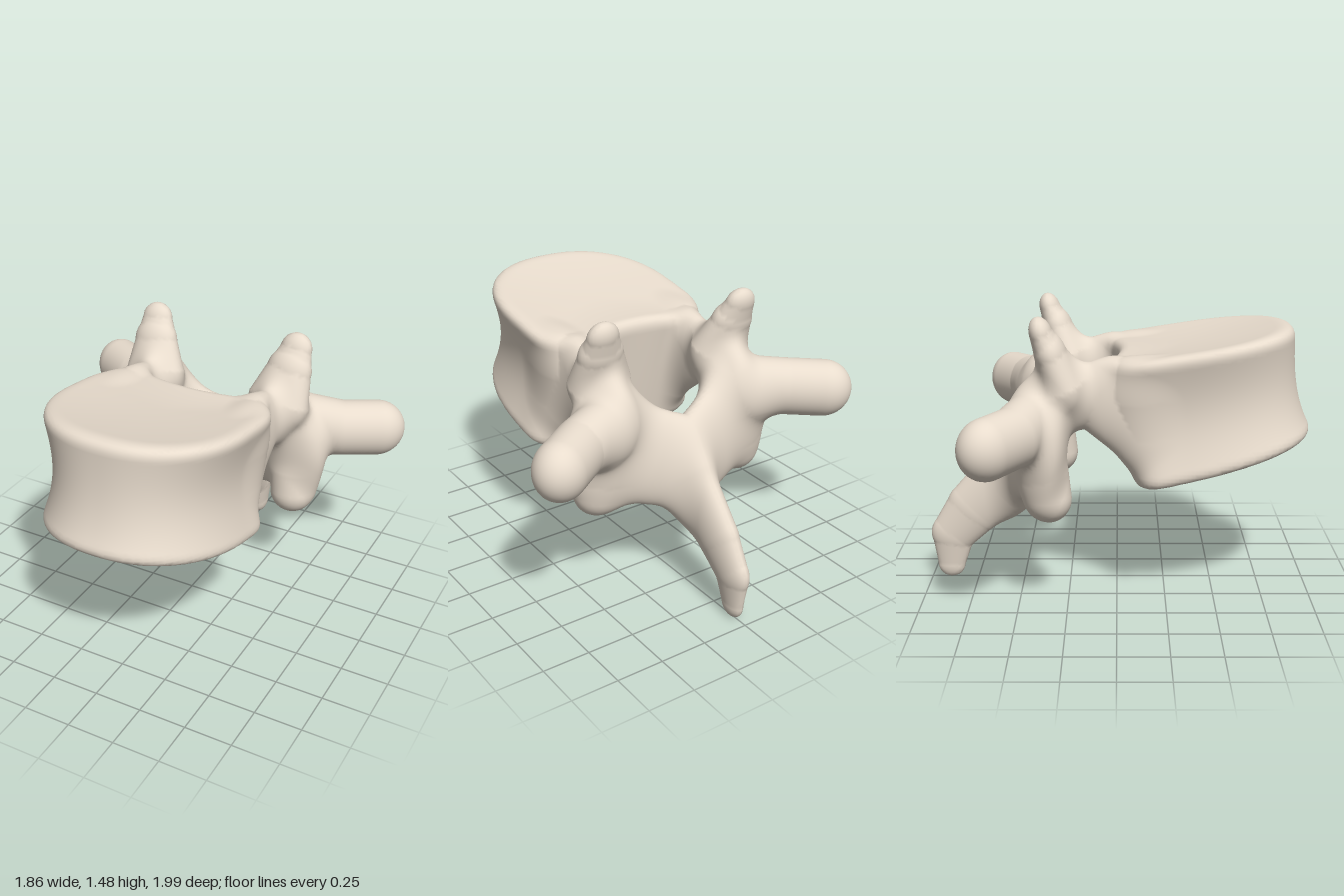
import * as THREE from 'three';
import { mergeVertices } from 'three/addons/utils/BufferGeometryUtils.js';

// The bone is one smooth skin: part fields are blended, meshed, then split into named parts.

const clamp = THREE.MathUtils.clamp;
const lerp = THREE.MathUtils.lerp;

// Smooth minimum: rounds the join of two fields over a width k
const blend = (a, b, k) => {
  const h = Math.max(k - Math.abs(a - b), 0) / k;
  return Math.min(a, b) - h * h * k * 0.25;
};

// Limb: path of [x, y, z, radius], flattened along the direction n by the factor k
function limb(path, n = [0, 0, 1], k = 1) {
  const len = Math.hypot(...n);
  const [nx, ny, nz] = n.map((c) => c / len);
  return (x, y, z) => {
    let best = Infinity;
    for (let i = 0; i < path.length - 1; i++) {
      const [ax, ay, az, ar] = path[i];
      const [bx, by, bz, br] = path[i + 1];
      const ex = bx - ax, ey = by - ay, ez = bz - az;
      const t = clamp(((x - ax) * ex + (y - ay) * ey + (z - az) * ez) / (ex * ex + ey * ey + ez * ez), 0, 1);
      const dx = x - ax - t * ex, dy = y - ay - t * ey, dz = z - az - t * ez;
      const dn = dx * nx + dy * ny + dz * nz;
      const d = Math.sqrt(dx * dx + dy * dy + dz * dz + (k * k - 1) * dn * dn) - lerp(ar, br, t);
      best = Math.min(best, d);
    }
    return best;
  };
}

// Body: D-shaped drum with sloping end plates, a waist and a hollowed back wall
function bodyField(x, y, z) {
  const top = 1.272 + 0.155 * z;
  const bottom = 0.582 + 0.235 * z;
  const s = clamp((y - bottom) / (top - bottom), 0, 1);
  const halfWidth = 0.52 - 0.07 * Math.sin(Math.PI * s);
  const front = 0.907 + 0.12 * (1 - s) ** 3;
  const back = 0.09 - 0.09 * s - 0.05 * s * Math.min(1, (x / 0.25) ** 2);
  const mid = 0.35;
  const u = Math.abs(x) / halfWidth;
  const v = z > mid ? (z - mid) / (front - mid) : (mid - z) / (mid - back);
  const n = z > mid ? 2.3 : 4.5;
  const r = (u ** n + v ** n) ** (1 / n);
  const dish = 0.03 * Math.max(0, 1 - r * r);
  const plates = Math.max(y - top, bottom - y) + dish;
  return -blend(-(r - 1) * 0.45, -plates, 0.08);
}

// Paired parts are described on the left (+x) and mirrored; join is the width of the fillet
const parts = [
  { name: 'vertebralBody', join: 0.1, field: bodyField },
  { name: 'pedicle', paired: true, join: 0.14,
    field: limb([[0.36, 1.07, 0.1, 0.155], [0.345, 0.89, 0.12, 0.155], [0.345, 1.09, -0.11, 0.165], [0.36, 1.07, -0.3, 0.155]], [1, 0, 0], 1.9) },
  { name: 'superiorArticularProcess', paired: true, join: 0.1,
    field: limb([[0.365, 1.15, -0.26, 0.165], [0.39, 1.3, -0.32, 0.12], [0.405, 1.405, -0.365, 0.084]], [0, 0.3, 1], 1.5) },
  { name: 'transverseProcess', paired: true, join: 0.12,
    field: limb([[0.36, 0.98, -0.39, 0.16], [0.62, 0.945, -0.49, 0.15], [0.785, 0.935, -0.6, 0.15]], [0.53, 0, 0.85], 1.15) },
  { name: 'inferiorArticularProcess', paired: true, join: 0.1,
    field: limb([[0.42, 0.9, -0.41, 0.13], [0.425, 0.7, -0.35, 0.12], [0.435, 0.585, -0.335, 0.118]], [0, 0, 1], 1.05) },
  { name: 'lamina', paired: true, join: 0.12,
    field: limb([[0.34, 0.81, -0.395, 0.26], [0, 0.69, -0.52, 0.23]], [0.32, 0.15, -0.95], 2.5) },
  { name: 'spinousProcess', join: 0.24,
    field: limb([[0, 0.6, -0.54, 0.18], [0, 0.395, -0.76, 0.15], [0, 0.25, -0.88, 0.118], [0, 0.075, -0.895, 0.073]], [1, 0, 0], 2) },
];

function boneField(x, y, z) {
  let d = 10;
  for (const p of parts) d = blend(d, p.field(Math.abs(x), y, z), p.join);
  return d;
}

function gradient(x, y, z) {
  const e = 0.004;
  return new THREE.Vector3(
    boneField(x + e, y, z) - boneField(x - e, y, z),
    boneField(x, y + e, z) - boneField(x, y - e, z),
    boneField(x, y, z + e) - boneField(x, y, z - e)
  ).divideScalar(2 * e);
}

function partNameAt(c) {
  let best = null, bestD = Infinity;
  for (const p of parts) {
    const d = p.field(Math.abs(c.x), c.y, c.z);
    if (d < bestD) { best = p; bestD = d; }
  }
  if (!best.paired) return best.name;
  return (c.x > 0 ? 'left' : 'right') + best.name[0].toUpperCase() + best.name.slice(1);
}

// Meshes the zero surface of the field: one vertex per crossed cell, one quad per crossed edge
function skin() {
  const h = 0.02, size = [106, 82, 108], origin = [-1.05, -0.06, -1.07];
  const step = [1, size[0], size[0] * size[1]];
  const at = (i, j, k) => i + j * step[1] + k * step[2];
  const values = new Float32Array(size[0] * size[1] * size[2]);
  const eachCell = (from, fn) => {
    for (let k = from; k < size[2] - 1; k++)
      for (let j = from; j < size[1] - 1; j++)
        for (let i = from; i < size[0] - 1; i++) fn(i, j, k, at(i, j, k));
  };
  values.fill(1);
  eachCell(0, (i, j, k, id) => {
    values[id] = boneField(origin[0] + i * h, origin[1] + j * h, origin[2] + k * h);
  });

  const positions = [], normals = [], points = [];
  const vertexOf = new Int32Array(values.length).fill(-1);
  eachCell(0, (i, j, k, id) => {
    const sum = new THREE.Vector3();
    let count = 0;
    for (let c = 0; c < 8; c++) {
      const corner = [c & 1, (c >> 1) & 1, c >> 2];
      const cornerId = id + at(...corner);
      const a = values[cornerId];
      for (let axis = 0; axis < 3; axis++) {
        if (corner[axis]) continue;
        const b = values[cornerId + step[axis]];
        if (a < 0 === b < 0) continue;
        const p = [...corner];
        p[axis] = a / (a - b);
        sum.add(new THREE.Vector3(...p));
        count++;
      }
    }
    if (!count) return;
    const p = sum.divideScalar(count).add(new THREE.Vector3(i, j, k)).multiplyScalar(h).add(new THREE.Vector3(...origin));
    // Pull the vertex onto the surface
    const g = gradient(p.x, p.y, p.z);
    const move = -boneField(p.x, p.y, p.z) / Math.max(g.lengthSq(), 0.2);
    p.addScaledVector(g, clamp(move, -h / 2, h / 2));
    vertexOf[id] = points.length;
    points.push(p);
    positions.push(p.x, p.y, p.z);
    normals.push(...gradient(p.x, p.y, p.z).normalize().toArray());
  });

  const faces = {};
  eachCell(1, (i, j, k, id) => {
    for (let axis = 0; axis < 3; axis++) {
      const inside = values[id] < 0;
      if (inside === values[id + step[axis]] < 0) continue;
      const u = step[(axis + 1) % 3], v = step[(axis + 2) % 3];
      const quad = [id - u - v, id - v, id, id - u].map((c) => vertexOf[c]);
      if (!inside) quad.reverse();
      const [a, b, c, d] = quad;
      const centre = points[a].clone().add(points[b]).add(points[c]).add(points[d]).divideScalar(4);
      (faces[partNameAt(centre)] ??= []).push(a, b, c, a, c, d);
    }
  });
  return { positions, normals, faces };
}

export function createModel() {
  const group = new THREE.Group();
  group.name = 'vertebra';
  const bone = new THREE.MeshStandardMaterial({ color: 0xe8dccd });
  const { positions, normals, faces } = skin();
  for (const [name, index] of Object.entries(faces)) {
    const shared = new THREE.BufferGeometry();
    shared.setAttribute('position', new THREE.Float32BufferAttribute(positions, 3));
    shared.setAttribute('normal', new THREE.Float32BufferAttribute(normals, 3));
    shared.setIndex(index);
    const mesh = new THREE.Mesh(mergeVertices(shared.toNonIndexed()), bone);
    mesh.name = name;
    group.add(mesh);
  }
  return group;
}
